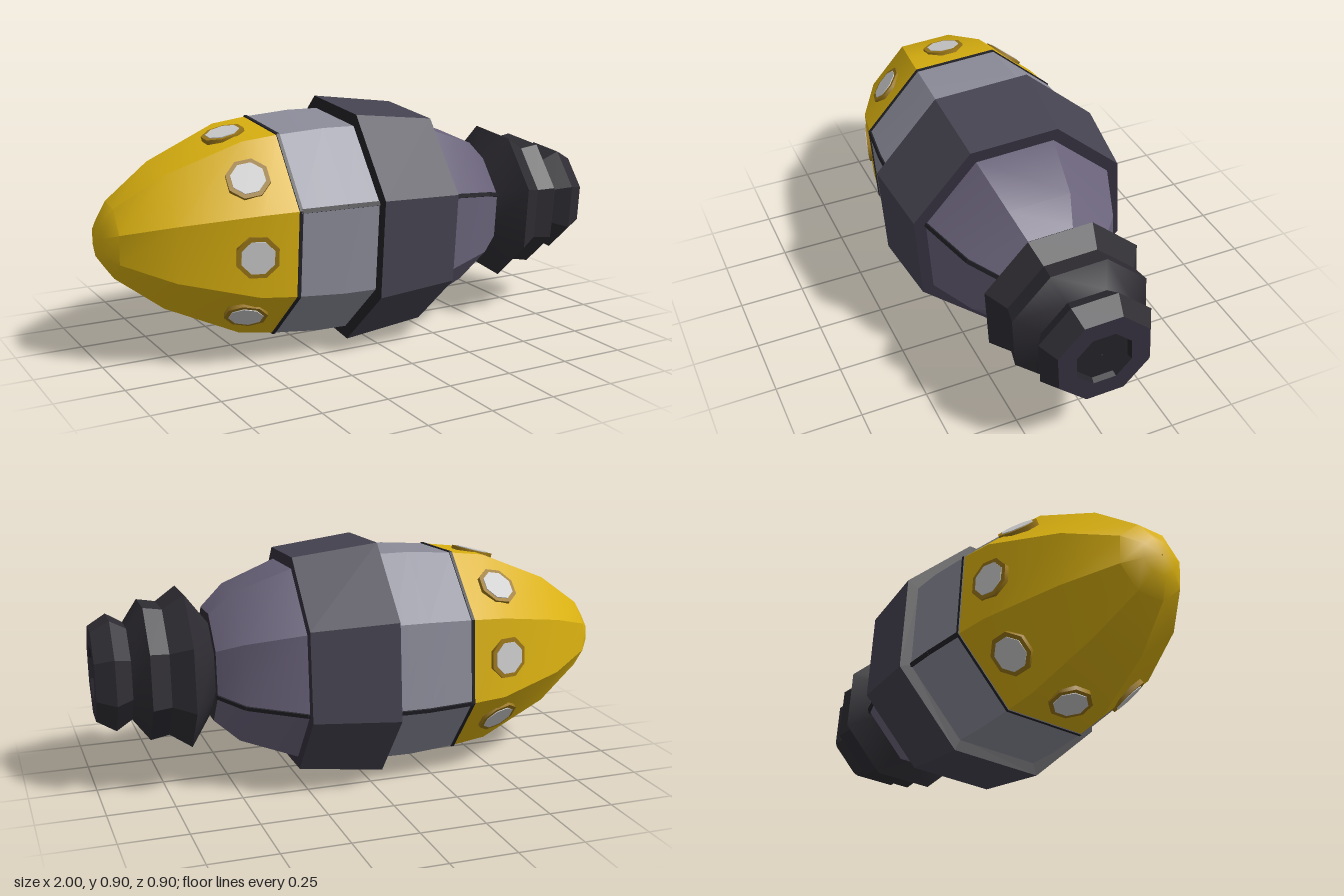
import * as THREE from 'three';
import { toCreasedNormals } from 'three/addons/utils/BufferGeometryUtils.js';

const mat = (color) => new THREE.MeshStandardMaterial({ color, side: THREE.DoubleSide });
const YELLOW = mat(0xd9b010), GOLD = mat(0x9a7618), GLASS = mat(0xcccccc);
const GREY = mat(0x8c8c9a), COLLAR = mat(0x454350), HULL = mat(0x696279);
const DARK = mat(0x2e2c32), RIM = mat(0x332e3d), BLACK = mat(0x232228);

const TWIST = THREE.MathUtils.degToRad(26.5); // roll of the octagon corners
const STEP = Math.PI / 4;

// Octagonal shell along +x from [station, corner radius] pairs
function shell(name, profile, material) {
  const pts = profile.map(([x, r]) => new THREE.Vector2(r, x));
  const lathe = new THREE.LatheGeometry(pts, 8, TWIST, Math.PI * 2);
  lathe.rotateZ(-Math.PI / 2);
  const mesh = new THREE.Mesh(toCreasedNormals(lathe, 0.55), material);
  mesh.name = name;
  return mesh;
}

// Thin dark seam following a corner of the hull
function seam(profile, angle) {
  const group = new THREE.Group();
  group.name = 'panelSeam';
  for (let i = 0; i < profile.length - 1; i++) {
    const [x0, r0] = profile[i], [x1, r1] = profile[i + 1];
    const bar = new THREE.Mesh(new THREE.BoxGeometry(Math.hypot(x1 - x0, r1 - r0), 0.014, 0.016), BLACK);
    bar.position.set((x0 + x1) / 2, (r0 + r1) / 2 - 0.004, 0);
    bar.rotation.z = Math.atan2(r1 - r0, x1 - x0);
    group.add(bar);
  }
  group.rotation.x = angle;
  return group;
}

// Octagonal porthole: frame plus slightly raised pane
function porthole(angle) {
  const pivot = new THREE.Group();
  pivot.name = 'porthole';
  const window = new THREE.Group();
  const disc = (r, h, y, material, name) => {
    const m = new THREE.Mesh(new THREE.CylinderGeometry(r, r, h, 8, 1).toNonIndexed(), material);
    m.geometry.rotateY(Math.PI / 8);
    m.position.y = y;
    m.name = name;
    window.add(m);
  };
  disc(0.08, 0.03, -0.01, GOLD, 'portholeFrame');
  disc(0.063, 0.03, -0.007, GLASS, 'portholePane');
  window.position.set(-0.515, 0.36, 0);
  window.rotation.z = 0.26;
  pivot.add(window);
  pivot.rotation.x = angle;
  return pivot;
}

export function createModel() {
  const model = new THREE.Group();
  model.name = 'rocketPod';
  const body = new THREE.Group();
  body.name = 'body';

  // Nose, bands and hull
  const front = [[-0.365, 0.412], [-0.19, 0.427], [-0.06, 0.427]];
  const rear = [[0.2, 0.4], [0.26, 0.388], [0.47, 0.305], [0.56, 0.22]];
  body.add(
    shell('noseCone', [[-1, 0.003], [-0.985, 0.07], [-0.94, 0.14], [-0.77, 0.27], [-0.5, 0.393], [-0.365, 0.412]], YELLOW),
    shell('noseBand', [[-0.371, 0.405], [-0.371, 0.416], [-0.359, 0.417], [-0.359, 0.405]], BLACK),
    shell('frontHull', front, GREY),
    shell('collar', [[-0.066, 0.476], [0.256, 0.436]], COLLAR),
    shell('collarFrontFace', [[-0.066, 0.42], [-0.066, 0.476]], BLACK),
    shell('collarRearFace', [[0.256, 0.436], [0.256, 0.38]], RIM),
    shell('rearHull', rear, HULL),
  );

  // Stepped nozzle with a recessed outlet
  body.add(
    shell('nozzle', [[0.56, 0.18], [0.65, 0.31], [0.73, 0.255], [0.8, 0.268], [0.86, 0.185], [0.92, 0.222], [0.99, 0.18]], DARK),
    shell('nozzleBack', [[0.55, 0.003], [0.56, 0.22]], DARK),
    shell('nozzleRim', [[0.99, 0.18], [0.99, 0.108]], RIM),
    shell('nozzleOutlet', [[0.99, 0.108], [0.97, 0.1], [0.97, 0.003]], BLACK),
  );

  // Seams on two opposite corners
  const corner = THREE.MathUtils.degToRad(71.5);
  for (const angle of [corner, corner + Math.PI]) body.add(seam(front, angle), seam(rear, angle));

  // One porthole on each nose facet
  const facet = THREE.MathUtils.degToRad(4);
  for (let i = 0; i < 8; i++) body.add(porthole(i * STEP + facet));

  body.position.y = 0.453;
  body.rotation.set(0, -0.045, -0.008);
  model.add(body);
  return model;
}
